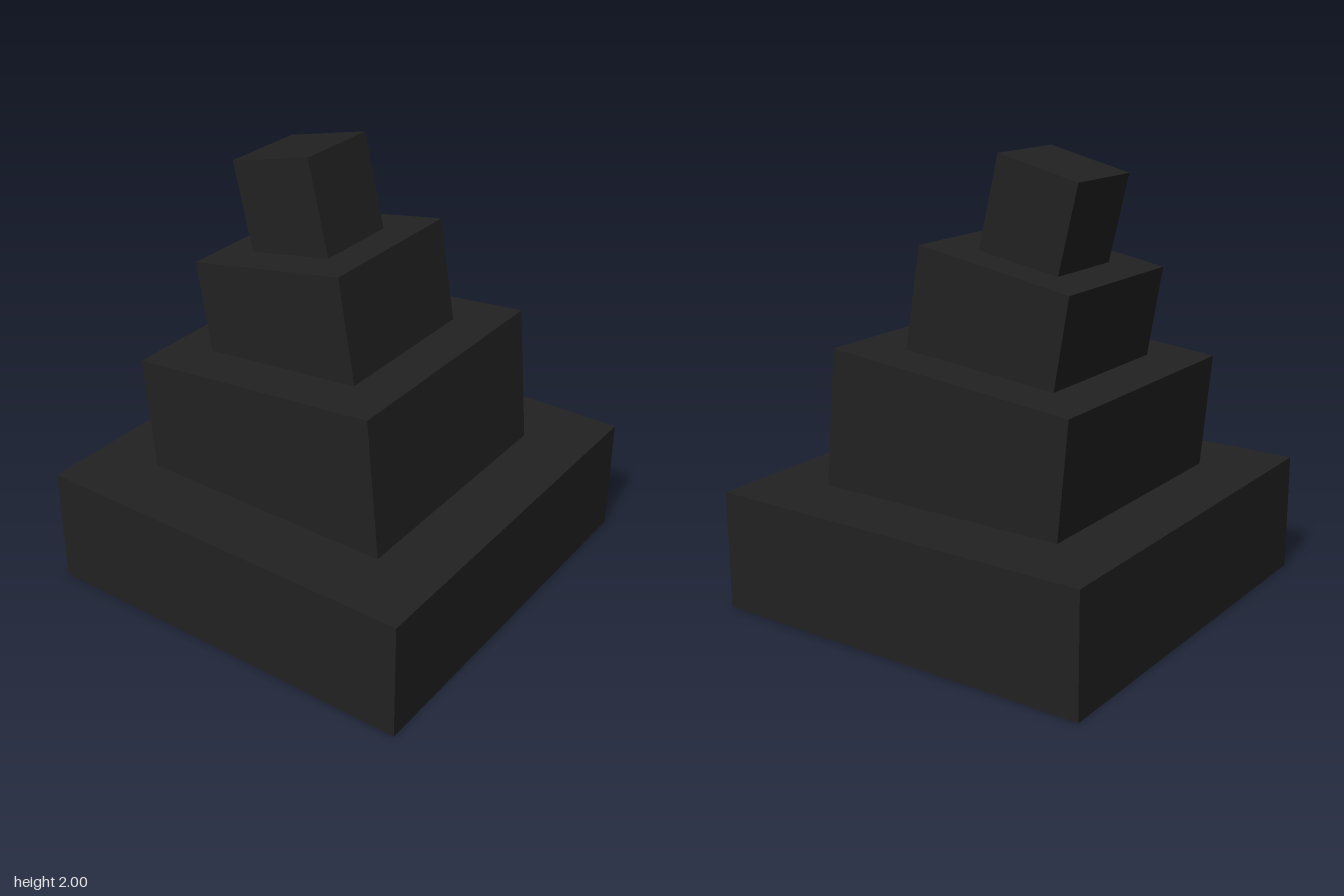
import * as THREE from 'three';

const material = new THREE.MeshStandardMaterial({ color: 0x222222, flatShading: true });

const rectangle = (Type, w, d) => new Type([
  new THREE.Vector2(-w, -d), new THREE.Vector2(w, -d),
  new THREE.Vector2(w, d), new THREE.Vector2(-w, d),
]);

// Rectangular slab spanning y0..y1, with an optional rectangular opening
function slab(name, w, d, y0, y1, opening) {
  const shape = rectangle(THREE.Shape, w, d);
  if (opening) shape.holes.push(rectangle(THREE.Path, opening[0], opening[1]));
  const geometry = new THREE.ExtrudeGeometry(shape, { depth: y1 - y0, bevelEnabled: false });
  geometry.rotateX(-Math.PI / 2).translate(0, y0, 0);
  const mesh = new THREE.Mesh(geometry, material);
  mesh.name = name;
  return mesh;
}

// Half sizes, height, wall and lid thickness, backward tilt, centre of the top face
const tiers = [
  { name: 'base', w: 0.92, d: 0.91, h: 0.54, wall: 0.155, lid: 0.11, tilt: 0, y: 0.54, z: 0 },
  { name: 'secondTier', w: 0.6, d: 0.6, h: 0.633, wall: 0.12, lid: 0.11, tilt: 5.27, y: 1.115, z: -0.0525 },
  { name: 'thirdTier', w: 0.378, d: 0.381, h: 0.47, wall: 0.1, lid: 0.09, tilt: 9.8, y: 1.55, z: -0.13 },
  { name: 'topBlock', w: 0.2, d: 0.203, h: 0.427, wall: 0.07, lid: 0.07, tilt: 13.5, y: 1.9525, z: -0.2325 },
];

export function createModel() {
  const model = new THREE.Group();
  model.name = 'leaningSteppedTower';

  tiers.forEach((t, i) => {
    const tier = new THREE.Group();
    tier.name = t.name;
    const next = tiers[i + 1];

    // Hollow walls, open below
    tier.add(slab(t.name + 'Walls', t.w, t.d, -t.h, -t.lid, [t.w - t.wall, t.d - t.wall]));
    // Lid, open into the cavity of the tier above
    tier.add(slab(t.name + 'Lid', t.w, t.d, -t.lid, 0,
      next && [next.w - next.wall, next.d - next.wall]));

    tier.position.set(0, t.y, t.z);
    tier.rotation.x = -THREE.MathUtils.degToRad(t.tilt);
    model.add(tier);
  });

  return model;
}
